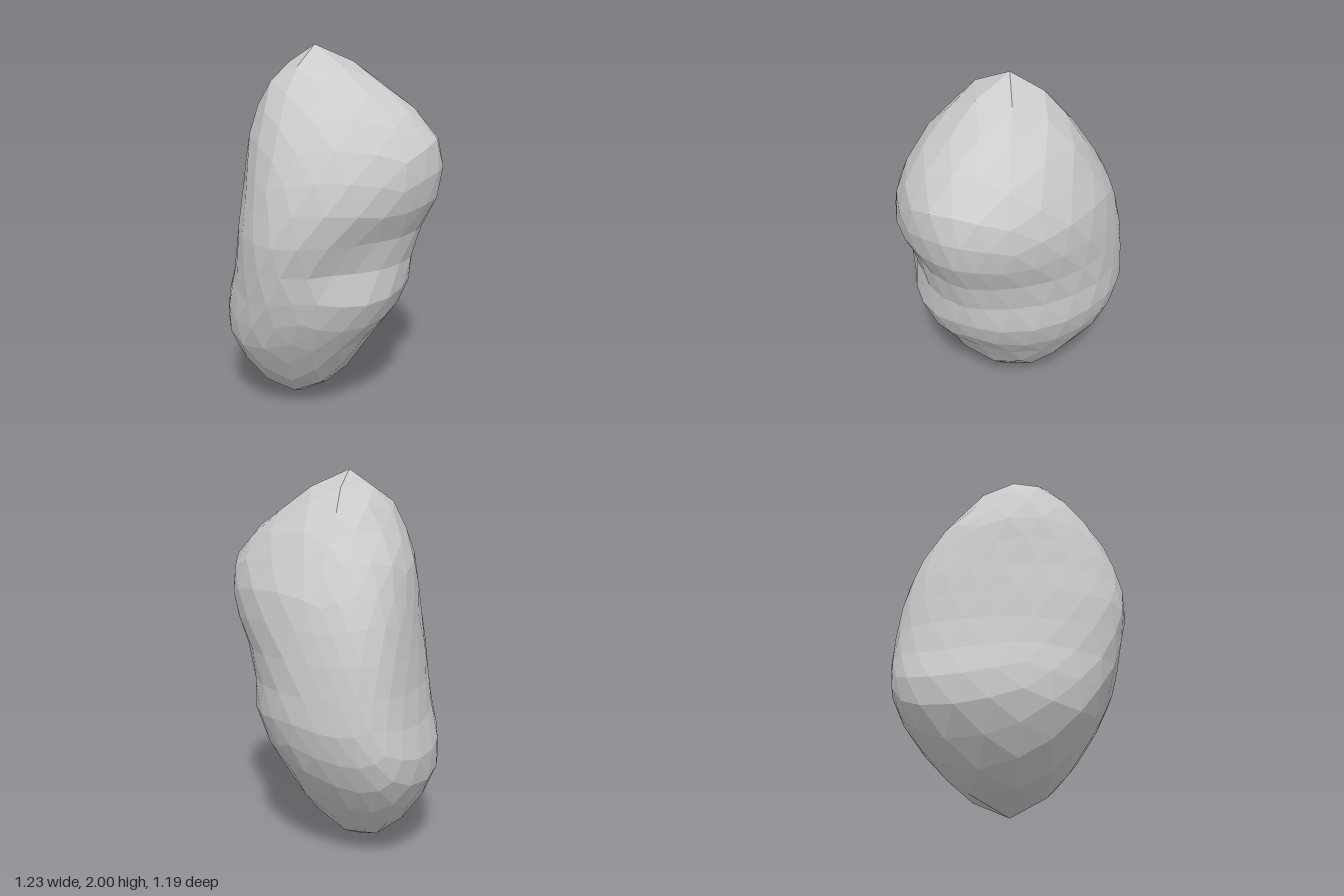
import * as THREE from 'three';

// Outline profiles as [height, offset] pairs, bottom to top
const LEFT_EDGE = [[0, -0.16], [0.05, -0.31], [0.22, -0.49], [0.43, -0.61], [0.6, -0.62], [0.7, -0.585],
  [0.9, -0.545], [1.2, -0.505], [1.55, -0.44], [1.86, -0.28], [2, -0.08]];
const RIGHT_EDGE = [[0, -0.16], [0.06, -0.04], [0.22, 0.12], [0.45, 0.26], [0.62, 0.39], [0.75, 0.45], [0.95, 0.475],
  [1.07, 0.51], [1.2, 0.58], [1.33, 0.62], [1.52, 0.62], [1.67, 0.5], [1.8, 0.32], [1.92, 0.13], [2, -0.08]];
const FRONT_EDGE = [[0, 0], [0.05, 0.15], [0.22, 0.31], [0.45, 0.45], [0.7, 0.54], [0.9, 0.58], [1.1, 0.6],
  [1.3, 0.575], [1.45, 0.53], [1.6, 0.46], [1.72, 0.38], [1.91, 0.2], [2, 0]];
const BACK_EDGE = [[0, 0], [0.06, -0.17], [0.26, -0.37], [0.5, -0.53], [0.68, -0.59], [0.8, -0.6], [1, -0.58],
  [1.15, -0.57], [1.4, -0.52], [1.68, -0.38], [1.9, -0.2], [2, 0]];

// Backward lean of the broad side, and how pointed the narrow side is
const LEAN = [[0, -0.15], [0.5, -0.2], [1, -0.25], [1.25, -0.2], [1.55, -0.08], [1.86, 0.1], [2, 0.1]];
const POINT = [[0, 0.75], [0.5, 0.85], [0.8, 0.97], [1.2, 1.22], [2, 1.3]];

function sample(profile, y) {
  for (let i = 1; i < profile.length; i++) {
    const [y0, v0] = profile[i - 1], [y1, v1] = profile[i];
    if (y <= y1) return v0 + (v1 - v0) * Math.max(0, (y - y0) / (y1 - y0));
  }
  return profile[profile.length - 1][1];
}

// How pointed each quarter of the section is: lower is fuller
function sharpness(y, c, s) {
  if (c <= 0) return s > 0 ? 1 : 0.9;
  const waist = s < 0 ? 0.3 * Math.exp(-(((y - 0.9) / 0.3) ** 2)) : 0;
  return sample(POINT, y) + waist;
}

// Maps a direction on the unit sphere to the stone's surface
function stonePoint(d) {
  const polar = Math.acos(THREE.MathUtils.clamp(d.y, -1, 1));
  const y = 1 + 0.35 * d.y + 0.65 * (1 - 2 * polar / Math.PI);
  const angle = Math.atan2(d.z, d.x);
  const c = Math.cos(angle), s = Math.sin(angle);
  const left = sample(LEFT_EDGE, y), right = sample(RIGHT_EDGE, y);
  const width = (right - left) / 1.2;

  // Egg-shaped section: broad on one side, tapering to the other
  const middle = (left + right) / 2 - (0.11 - 0.04 * s) * width;
  let x = middle + c * (c > 0 ? right - middle : middle - left);
  const depth = s > 0 ? sample(FRONT_EDGE, y) : -sample(BACK_EDGE, y);
  let z = Math.sign(s) * depth * Math.pow(Math.abs(s), sharpness(y, c, s));
  z += c * c * width * (c > 0 ? 0.04 : sample(LEAN, y));

  // Shallow hollow across the front, rising towards the side
  const rise = (y - 0.9 - 0.2 * x) / 0.17, turn = (angle - 0.85) / 0.45;
  const dent = 0.07 * Math.exp(-rise * rise - turn * turn);
  x -= dent * c;
  z -= dent * s;
  return new THREE.Vector3(x, y, z);
}

export function createModel() {
  const group = new THREE.Group();
  group.name = 'rock';

  // Faceted sphere with a corner at each pole, pushed into shape
  const geometry = new THREE.IcosahedronGeometry(1, 4);
  geometry.rotateZ(-Math.atan(2 / (1 + Math.sqrt(5))));
  geometry.rotateY(Math.PI);
  const position = geometry.attributes.position;
  const v = new THREE.Vector3();
  for (let i = 0; i < position.count; i++) {
    const p = stonePoint(v.fromBufferAttribute(position, i).normalize());
    position.setXYZ(i, p.x, p.y, p.z);
  }
  geometry.computeVertexNormals();

  const stone = new THREE.Mesh(geometry, new THREE.MeshStandardMaterial({ color: 0xcccccc, flatShading: true }));
  stone.name = 'stone';
  group.add(stone);
  return group;
}
